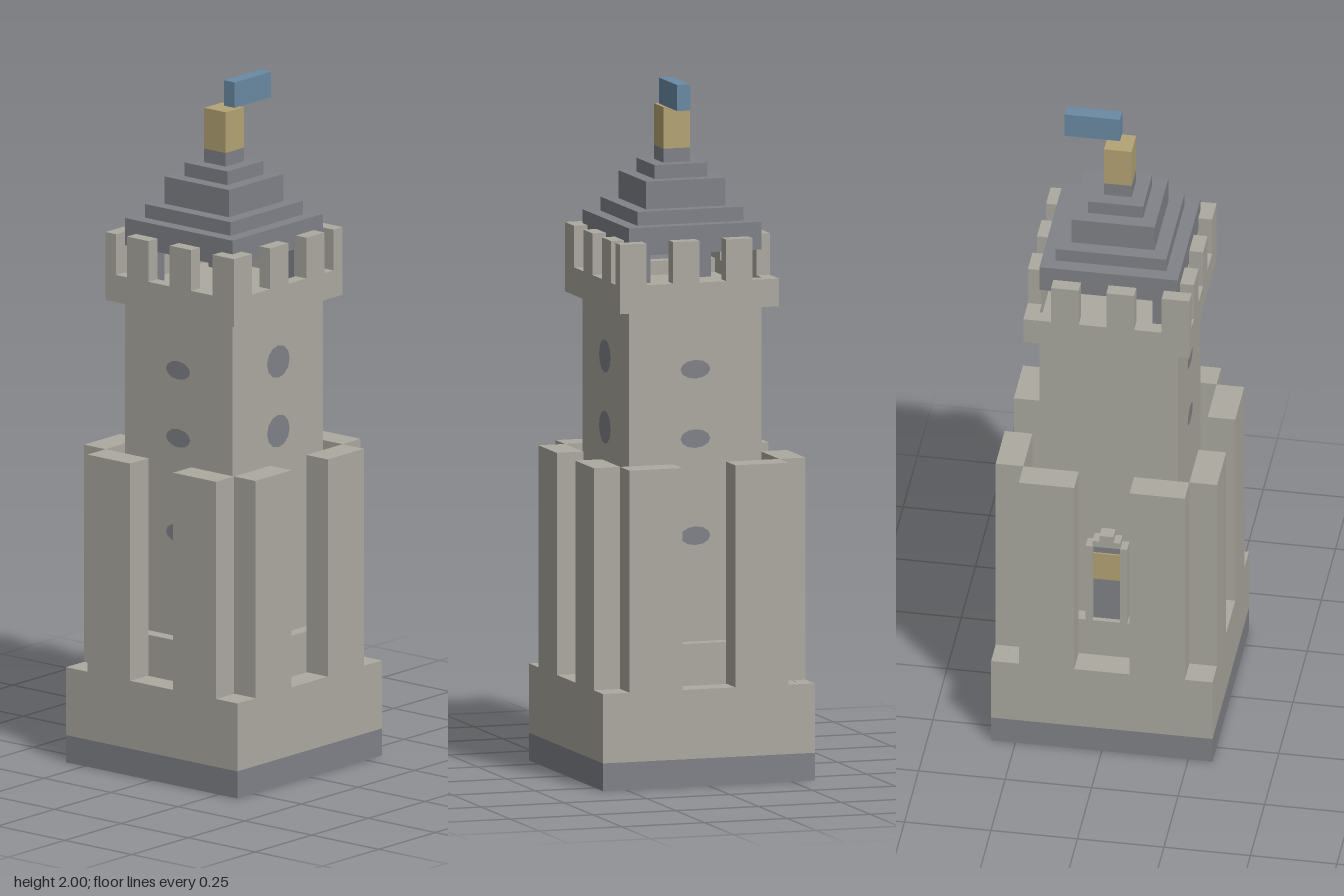
import * as THREE from 'three';

export function createModel() {
  const model = new THREE.Group();
  model.name = 'watchtower';

  const mat = (name, color) => {
    const m = new THREE.MeshStandardMaterial({ color });
    m.name = name;
    return m;
  };
  const stone = mat('stone', 0xaba9a0);
  const slate = mat('slate', 0x808288);
  const gold = mat('gold', 0xb4a374);
  const blue = mat('blue', 0x6a8aa3);

  const add = (name, geometry, material, parent = model) => {
    const mesh = new THREE.Mesh(geometry, material);
    mesh.name = name;
    parent.add(mesh);
    return mesh;
  };

  // Box given by its limits on each axis
  const box = (name, material, x0, x1, y0, y1, z0, z1, parent) => {
    const g = new THREE.BoxGeometry(x1 - x0, y1 - y0, z1 - z0);
    g.translate((x0 + x1) / 2, (y0 + y1) / 2, (z0 + z1) / 2);
    return add(name, g, material, parent);
  };
  const block = (name, material, r, y0, y1) => box(name, material, -r, r, y0, y1, -r, r);

  // Hollow square wall
  const square = (path, r) => {
    path.moveTo(-r, -r);
    path.lineTo(r, -r);
    path.lineTo(r, r);
    path.lineTo(-r, r);
    path.closePath();
    return path;
  };
  const ring = (name, material, r, thickness, y0, y1) => {
    const shape = square(new THREE.Shape(), r);
    shape.holes.push(square(new THREE.Path(), r - thickness));
    const g = new THREE.ExtrudeGeometry(shape, { depth: y1 - y0, bevelEnabled: false });
    g.rotateX(-Math.PI / 2);
    g.translate(0, y0, 0);
    return add(name, g, material);
  };

  // Hollow foundation, open below
  ring('foundation', slate, 0.32, 0.04, 0, 0.08);
  ring('baseWall', stone, 0.32, 0.04, 0.08, 0.28);
  block('baseFloor', stone, 0.28, 0.24, 0.279);
  block('plinth', stone, 0.24, 0.279, 0.4);

  // Shaft and parapet
  block('shaft', stone, 0.2, 0.4, 1.38);
  ring('parapet', stone, 0.24, 0.04, 1.36, 1.44);
  block('parapetFloor', stone, 0.2, 1.38, 1.4);

  // Two buttresses on every side
  for (let side = 0; side < 4; side++) {
    const group = new THREE.Group();
    group.name = 'buttresses';
    group.rotation.y = side * Math.PI / 2;
    for (const x of [-0.24, 0.08]) {
      box('buttress', stone, x, x + 0.16, 0.28, 0.92, 0.24, 0.32, group);
    }
    model.add(group);
  }

  // Battlements: the same spacing on facing walls
  for (const start of [-0.24, -0.08, 0.08]) {
    for (const wall of [-0.24, 0.2]) {
      box('merlon', stone, start, start + 0.08, 1.44, 1.56, wall, wall + 0.04);
      box('merlon', stone, wall, wall + 0.04, 1.44, 1.56, -start - 0.08, -start);
    }
  }

  // Corner posts that carry the roof
  for (const x of [-0.16, 0.12]) {
    for (const z of [-0.16, 0.12]) {
      box('roofPost', slate, x, x + 0.04, 1.4, 1.52, z, z + 0.04);
    }
  }

  // Stepped roof
  const steps = [[0.2, 1.52, 1.6], [0.16, 1.6, 1.64], [0.12, 1.64, 1.72], [0.08, 1.72, 1.76], [0.04, 1.76, 1.8]];
  for (const [r, y0, y1] of steps) block('roofStep', slate, r, y0, y1);

  // Finial and flag
  block('finial', gold, 0.04, 1.8, 1.92);
  box('flag', blue, 0, 0.16, 1.925, 2, 0, 0.04);

  // Round windows: large on the front, small and flat on the sides
  const windows = (angle, rx, ry, heights) => {
    const group = new THREE.Group();
    group.name = 'windows';
    group.rotation.y = angle;
    for (const y of heights) {
      const g = new THREE.CircleGeometry(1, 12);
      g.scale(rx, ry, 1);
      g.translate(0, y, 0.203);
      add('window', g, slate, group);
    }
    model.add(group);
  };
  windows(0, 0.05, 0.048, [0.725, 1, 1.205]);
  for (const s of [-1, 1]) windows(s * Math.PI / 2, 0.045, 0.027, [0.705, 0.985, 1.185]);

  // Back door: stone surround with a stepped arch, dark panel and gold light
  for (const s of [-1, 1]) {
    box('doorJamb', stone, s * 0.05 - 0.01, s * 0.05 + 0.01, 0.4, 0.66, -0.24, -0.2);
  }
  box('doorArch', stone, -0.04, 0.04, 0.66, 0.68, -0.24, -0.2);
  box('doorKeystone', stone, -0.02, 0.02, 0.68, 0.7, -0.24, -0.2);
  box('doorPanel', slate, -0.04, 0.04, 0.4, 0.66, -0.225, -0.2);
  box('doorLight', gold, -0.04, 0.04, 0.54, 0.63, -0.23, -0.225);

  return model;
}
